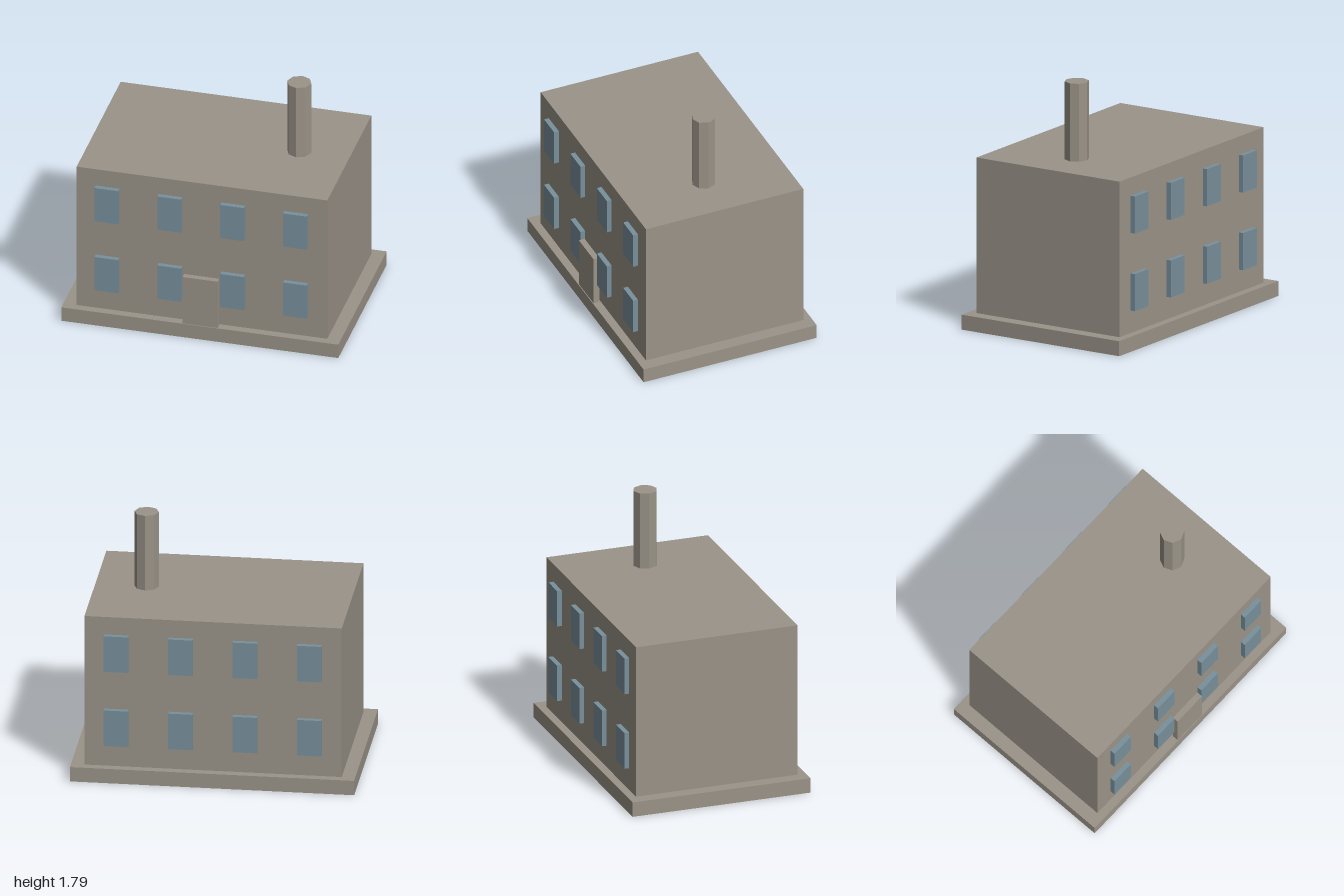
import * as THREE from 'three';

const stone = new THREE.MeshStandardMaterial({ color: 0x9a9388 });
stone.name = 'stone';
const glass = new THREE.MeshStandardMaterial({ color: 0x78909c });
glass.name = 'blueGlass';

// Box given by its size, its bottom height and its x and z centre
function block(name, material, [w, h, d], x, bottom, z) {
  const mesh = new THREE.Mesh(new THREE.BoxGeometry(w, h, d), material);
  mesh.name = name;
  mesh.position.set(x, bottom + h / 2, z);
  return mesh;
}

export function createModel() {
  const model = new THREE.Group();
  model.name = 'factoryBuilding';

  // Plinth and main block
  model.add(block('plinth', stone, [2, 0.108, 1.322], 0, 0, 0));
  model.add(block('walls', stone, [1.81, 1.122, 1.202], 0, 0.108, 0));

  // Door slab standing just clear of the front wall
  model.add(block('door', stone, [0.254, 0.375, 0.044], 0, 0.108, 0.633));

  // Two rows of four windows on the front and back
  const windows = new THREE.Group();
  windows.name = 'windows';
  for (const side of [1, -1]) {
    for (const bottom of [0.27, 0.83]) {
      for (let i = 0; i < 4; i++) {
        const x = (i - 1.5) * 0.4535;
        windows.add(block('window', glass, [0.172, 0.268, 0.044], x, bottom, side * 0.615));
      }
    }
  }
  model.add(windows);

  // Eight-sided chimney on the roof
  const chimneyGeometry = new THREE.CylinderGeometry(0.086, 0.086, 0.562, 8).toNonIndexed();
  chimneyGeometry.computeVertexNormals();
  const chimney = new THREE.Mesh(chimneyGeometry, stone);
  chimney.name = 'chimney';
  chimney.position.set(0.544, 1.23 + 0.281, 0);
  model.add(chimney);

  return model;
}
